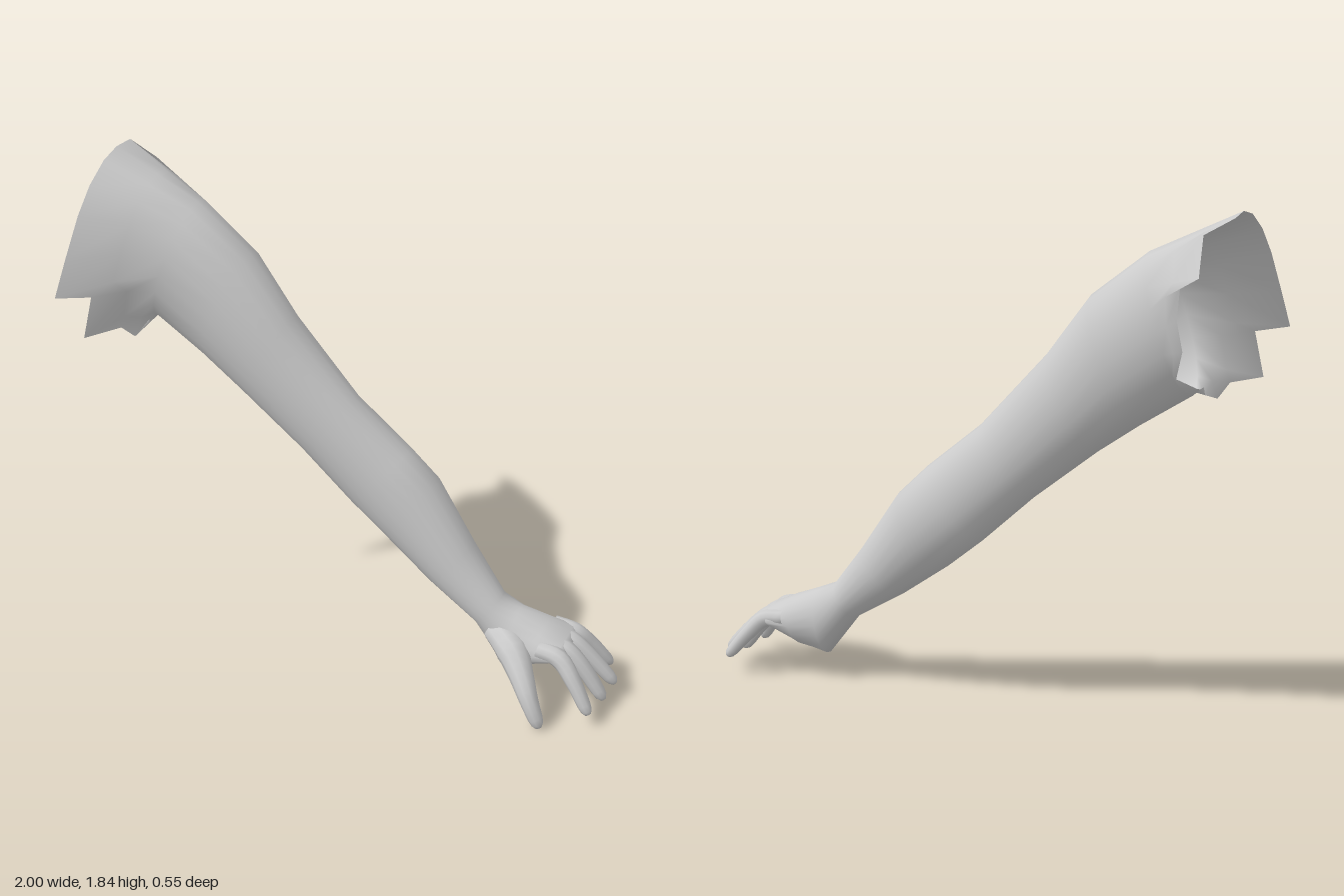
import * as THREE from 'three';

const SIDES = 20;
const V = (x, y, z) => new THREE.Vector3(x, y, z);
const material = new THREE.MeshStandardMaterial({ color: 0xcccccc, side: THREE.DoubleSide });

// Closed ring of points: centre, half-axis at angle 0, half-axis at 90 degrees
function makeRing(centre, up, side, count) {
  return Array.from({ length: count }, (_, j) => {
    const a = (j / count) * Math.PI * 2;
    return centre.clone().addScaledVector(up, Math.cos(a)).addScaledVector(side, Math.sin(a));
  });
}

// Smooth skin over a list of rings
function loft(rings, name) {
  const n = rings[0].length, index = [];
  for (let i = 0; i < rings.length - 1; i++) {
    for (let j = 0; j < n; j++) {
      const a = i * n + j, b = i * n + ((j + 1) % n);
      index.push(a, b, a + n, b, b + n, a + n);
    }
  }
  const geometry = new THREE.BufferGeometry().setFromPoints(rings.flat());
  geometry.setIndex(index);
  geometry.computeVertexNormals();
  const mesh = new THREE.Mesh(geometry, material);
  mesh.name = name;
  return mesh;
}

// Tapered digit along a curve, with a blunt rounded tip
function digit(name, path, radii) {
  const curve = new THREE.CatmullRomCurve3(path.map((p) => V(...p)));
  const steps = 12, rings = [];
  const addRing = (t, scale) => {
    const f = t * (radii.length - 1), k = Math.min(Math.floor(f), radii.length - 2);
    const r = THREE.MathUtils.lerp(radii[k], radii[k + 1], f - k) * scale;
    const tangent = curve.getTangent(t);
    const side = V(0, 0, 1).addScaledVector(tangent, -tangent.z).normalize();
    const up = side.clone().cross(tangent);
    rings.push(makeRing(curve.getPoint(t), up.multiplyScalar(r), side.multiplyScalar(r), 10));
  };
  for (let i = 0; i < steps; i++) addRing(i / steps, 1);
  addRing(0.97, 0.85);
  addRing(1, 0.5);
  addRing(1, 0.001);
  return loft(rings, name);
}

export function createModel() {
  const group = new THREE.Group();
  group.name = 'arm';

  // Ragged shoulder opening: top, front flap, armpit, back
  const opening = [
    [-0.93, 1.84, -0.08], [-0.935, 1.82, 0], [-0.945, 1.76, 0.085], [-0.96, 1.67, 0.15],
    [-0.98, 1.53, 0.22], [-1, 1.4, 0.275], [-0.9, 1.39, 0.2], [-0.93, 1.23, 0.22],
    [-0.85, 1.23, 0.1], [-0.82, 1.18, 0.06], [-0.79, 1.23, 0], [-0.8, 1.24, -0.07],
    [-0.81, 1.26, -0.14], [-0.76, 1.3, -0.2], [-0.79, 1.4, -0.235], [-0.77, 1.5, -0.24],
    [-0.78, 1.62, -0.245], [-0.85, 1.65, -0.275], [-0.83, 1.78, -0.175], [-0.93, 1.83, -0.17],
  ].map((p) => V(...p));

  // Arm and palm sections: top x, y, bottom x, y, back z, front z
  const sections = [
    [-0.62, 1.69, -0.78, 1.22, -0.24, 0.07],
    [-0.42, 1.53, -0.6, 1.1, -0.235, 0.06],
    [-0.26, 1.31, -0.45, 0.99, -0.215, 0.045],
    [-0.02, 1.04, -0.22, 0.8, -0.2, 0.02],
    [0.18, 0.87, -0.03, 0.62, -0.215, 0.015],
    [0.29, 0.76, 0.1, 0.51, -0.225, 0.01],
    [0.44, 0.54, 0.29, 0.37, -0.19, 0.008],
    [0.57, 0.37, 0.48, 0.25, -0.152, 0.002],
    [0.64, 0.34, 0.6, 0.09, -0.165, 0.012],
    [0.74, 0.3, 0.69, 0.12, -0.195, 0.02],
    [0.82, 0.26, 0.775, 0.18, -0.21, 0.025],
    [0.84, 0.235, 0.81, 0.2, -0.19, 0.01],
  ];
  const rings = sections.map(([tx, ty, bx, by, z0, z1]) => makeRing(
    V((tx + bx) / 2, (ty + by) / 2, (z0 + z1) / 2),
    V((tx - bx) / 2, (ty - by) / 2, 0),
    V(0, 0, (z1 - z0) / 2), SIDES));

  // Flare between the first arm section and the opening
  const flare = opening.map((p, j) => {
    const q = rings[0][j].clone().lerp(p, 0.5);
    q.z = THREE.MathUtils.lerp(rings[0][j].z, p.z, 0.3);
    return q;
  });
  const end = rings[rings.length - 1].map(() => V(0.83, 0.215, -0.09));
  group.add(loft([opening, flare, ...rings, end], 'armAndPalm'));

  // Fingers: base z, tip x, y, z, radius
  const fingers = {
    indexFinger: [-0.005, 0.96, 0.05, 0.045, 0.03],
    middleFinger: [-0.065, 0.98, 0.045, -0.065, 0.031],
    ringFinger: [-0.125, 0.995, 0.065, -0.145, 0.03],
    littleFinger: [-0.178, 0.95, 0.075, -0.235, 0.027],
  };
  for (const [name, [z, tx, ty, tz, r]] of Object.entries(fingers)) {
    const mid = THREE.MathUtils.lerp(z, tz, 0.45);
    group.add(digit(name, [
      [0.74, 0.235, z * 0.95 - 0.004], [0.82, 0.222, z],
      [0.83 + (tx - 0.83) * 0.4, 0.165, mid], [tx, ty, tz],
    ], [r * 1.1, r * 1.15, r, r * 0.75]));
  }

  // Thumb
  group.add(digit('thumb', [
    [0.57, 0.25, -0.04], [0.65, 0.215, 0.015], [0.71, 0.165, 0.075],
    [0.76, 0.1, 0.12], [0.81, 0.008, 0.14],
  ], [0.055, 0.06, 0.045, 0.034, 0.024]));

  return group;
}
